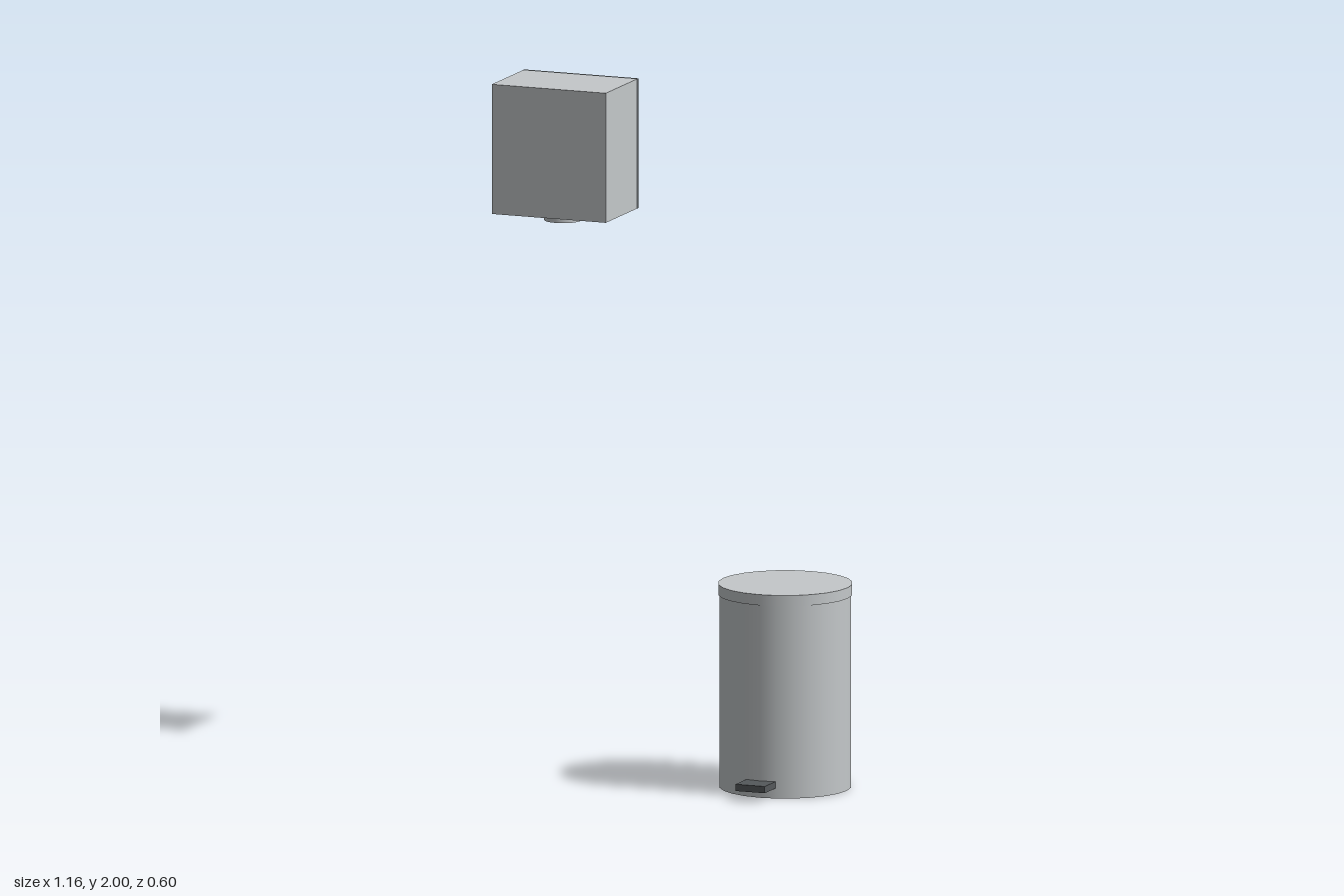
import * as THREE from 'three';

export function createModel() {
  const model = new THREE.Group();
  model.name = 'washroomSet';

  const steel = new THREE.MeshStandardMaterial({ color: 0xc4c8ca });
  steel.name = 'brushed steel';
  const dark = new THREE.MeshStandardMaterial({ color: 0x55595b });
  dark.name = 'dark plastic';

  const add = (parent, name, geometry, material, x, y, z) => {
    const mesh = new THREE.Mesh(geometry, material);
    mesh.name = name;
    mesh.position.set(x, y, z);
    parent.add(mesh);
    return mesh;
  };
  const cylinder = (radius, height, sides = 24) =>
    new THREE.CylinderGeometry(radius, radius, height, sides);

  // Wall dispenser: housing, mounting plate and round outlet underneath
  const dispenser = new THREE.Group();
  dispenser.name = 'wallDispenser';
  dispenser.position.set(-0.4, 0, 0);
  add(dispenser, 'housing', new THREE.BoxGeometry(0.36, 0.385, 0.235), steel, 0, 1.8075, -0.1685);
  add(dispenser, 'mountingPlate', new THREE.BoxGeometry(0.36, 0.385, 0.014), dark, 0, 1.8075, -0.293);
  add(dispenser, 'outlet', cylinder(0.056, 0.033), steel, 0, 1.6085, -0.16);

  // Pedal bin: the body's three groups are side, top and underside
  const bin = new THREE.Group();
  bin.name = 'pedalBin';
  bin.position.set(0.38, 0, 0.03);
  add(bin, 'body', cylinder(0.193, 0.58), [steel, steel, dark], 0, 0.29, 0);
  add(bin, 'lid', cylinder(0.197, 0.032), steel, 0, 0.588, 0);
  add(bin, 'pedal', new THREE.BoxGeometry(0.092, 0.02, 0.1), dark, 0, 0.04, 0.218);
  add(bin, 'hingeRod', cylinder(0.01, 0.555, 12), steel, 0, 0.2925, -0.207);

  model.add(dispenser, bin);
  return model;
}
